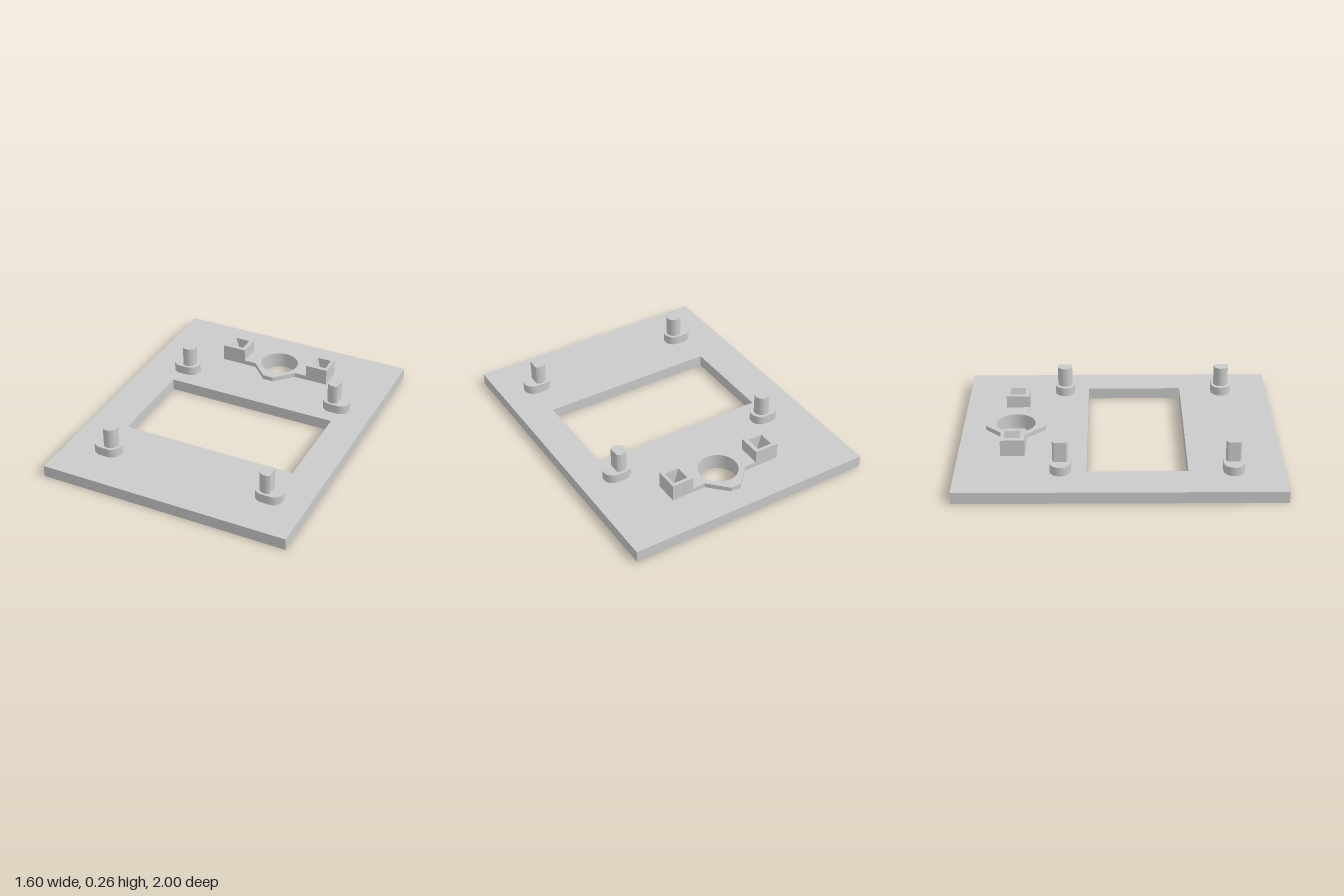
import * as THREE from 'three';
import { toCreasedNormals } from 'three/addons/utils/BufferGeometryUtils.js';

const PLATE_TOP = 0.075;
const grey = new THREE.MeshStandardMaterial({ color: 0xcacaca });
grey.name = 'grey plastic';

// Outlines are drawn as [x, z]; the shape plane is flipped so z runs down.
const outline = (pts, Type = THREE.Shape) => new Type(pts.map(([x, z]) => new THREE.Vector2(x, -z)));
const rect = (x0, x1, z0, z1) => [[x0, z0], [x1, z0], [x1, z1], [x0, z1]];
function arc(cx, cz, r, from, to, n) {
  return Array.from({ length: n + 1 }, (_, i) => {
    const a = from + (to - from) * i / n;
    return [cx + r * Math.cos(a), cz + r * Math.sin(a)];
  });
}
const circle = (cx, cz, r, n = 64) => arc(cx, cz, r, 0, 2 * Math.PI, n).slice(0, n);

// Raise an outline from y0 to y1; holes wind against the outline so their walls face inward.
function slab(name, pts, holes, y0, y1) {
  const shape = outline(pts);
  shape.holes = holes.map(h => outline([...h].reverse(), THREE.Path));
  const geo = new THREE.ExtrudeGeometry(shape, { depth: y1 - y0, bevelEnabled: false });
  geo.rotateX(-Math.PI / 2);
  geo.translate(0, y0, 0);
  const mesh = new THREE.Mesh(toCreasedNormals(geo, 0.5), grey);
  mesh.name = name;
  return mesh;
}

// Skin a series of rectangular sections [x0, x1, z0, z1, y].
function rectSkin(name, sections) {
  const pos = [];
  const loops = sections.map(([x0, x1, z0, z1, y]) => rect(x0, x1, z0, z1).map(([x, z]) => [x, y, z]));
  for (let s = 0; s < loops.length - 1; s++) {
    for (let i = 0; i < 4; i++) {
      const j = (i + 1) % 4;
      const a = loops[s][i], b = loops[s][j], c = loops[s + 1][j], d = loops[s + 1][i];
      pos.push(...a, ...d, ...b, ...b, ...d, ...c);
    }
  }
  const geo = new THREE.BufferGeometry();
  geo.setAttribute('position', new THREE.Float32BufferAttribute(pos, 3));
  geo.computeVertexNormals();
  const mesh = new THREE.Mesh(geo, grey);
  mesh.name = name;
  return mesh;
}

export function createModel() {
  const model = new THREE.Group();
  model.name = 'mountingPlate';
  const cx = 0.024, cz = -0.66;
  const bore = circle(cx, cz, 0.124);
  const slots = [[-0.295, -0.26], [0.308, 0.345]];

  // Base plate with window, round bore and two slots
  model.add(slab('basePlate', rect(-0.8, 0.8, -1, 1), [
    rect(-0.55, 0.587, -0.201, 0.414), bore,
    ...slots.map(([a, b]) => rect(a, b, -0.695, -0.629)),
  ], 0, PLATE_TOP));

  // Raised octagonal collar with arms reaching the sockets
  const half = [[-0.226, -0.075], [-0.146, -0.075], [-0.034, -0.191]];
  const back = [...half, ...half.map(([x, z]) => [-x, z]).reverse()];
  const collar = [...back, ...back.map(([x, z]) => [x, -z]).reverse()];
  model.add(slab('sensorCollar', collar.map(([x, z]) => [x + cx, z + cz]), [bore], PLATE_TOP, 0.104));

  // Square sockets with side walls sloping in to the slots
  const boxes = [[-0.358, -0.201, -0.324, -0.228], [0.25, 0.395, 0.281, 0.376]];
  boxes.forEach(([x0, x1, rx0, rx1], i) => {
    model.add(rectSkin(i ? 'leftSocket' : 'rightSocket', [
      [x0, x1, -0.735, -0.585, PLATE_TOP],
      [x0, x1, -0.735, -0.585, 0.183],
      [rx0, rx1, -0.713, -0.613, 0.183],
      [...slots[i], -0.713, -0.613, PLATE_TOP],
    ]));
  });

  // Four standoffs: oval foot and D-shaped pin with its flat facing outward
  for (const side of [-1, 1]) {
    for (const z of [-0.36, 0.689]) {
      const footX = side < 0 ? (z < 0 ? -0.521 : -0.526) : 0.56;
      const pinX = side < 0 ? -0.505 : 0.546;
      const q = Math.PI / 2, r = 0.064, h = 0.025;
      const standoff = new THREE.Group();
      standoff.name = (z < 0 ? 'back' : 'front') + (side < 0 ? 'Right' : 'Left') + 'Standoff';
      const foot = [...arc(footX + h, z, r, -q, q, 24), ...arc(footX - h, z, r, q, 3 * q, 24)];
      standoff.add(slab('foot', foot, [], PLATE_TOP, 0.133));
      const open = 0.88, turn = side < 0 ? Math.PI : 0;
      const pin = arc(pinX, z, 0.048, turn + open, turn + 2 * Math.PI - open, 40);
      standoff.add(slab('pin', pin, [], 0.133, 0.262));
      model.add(standoff);
    }
  }
  return model;
}
